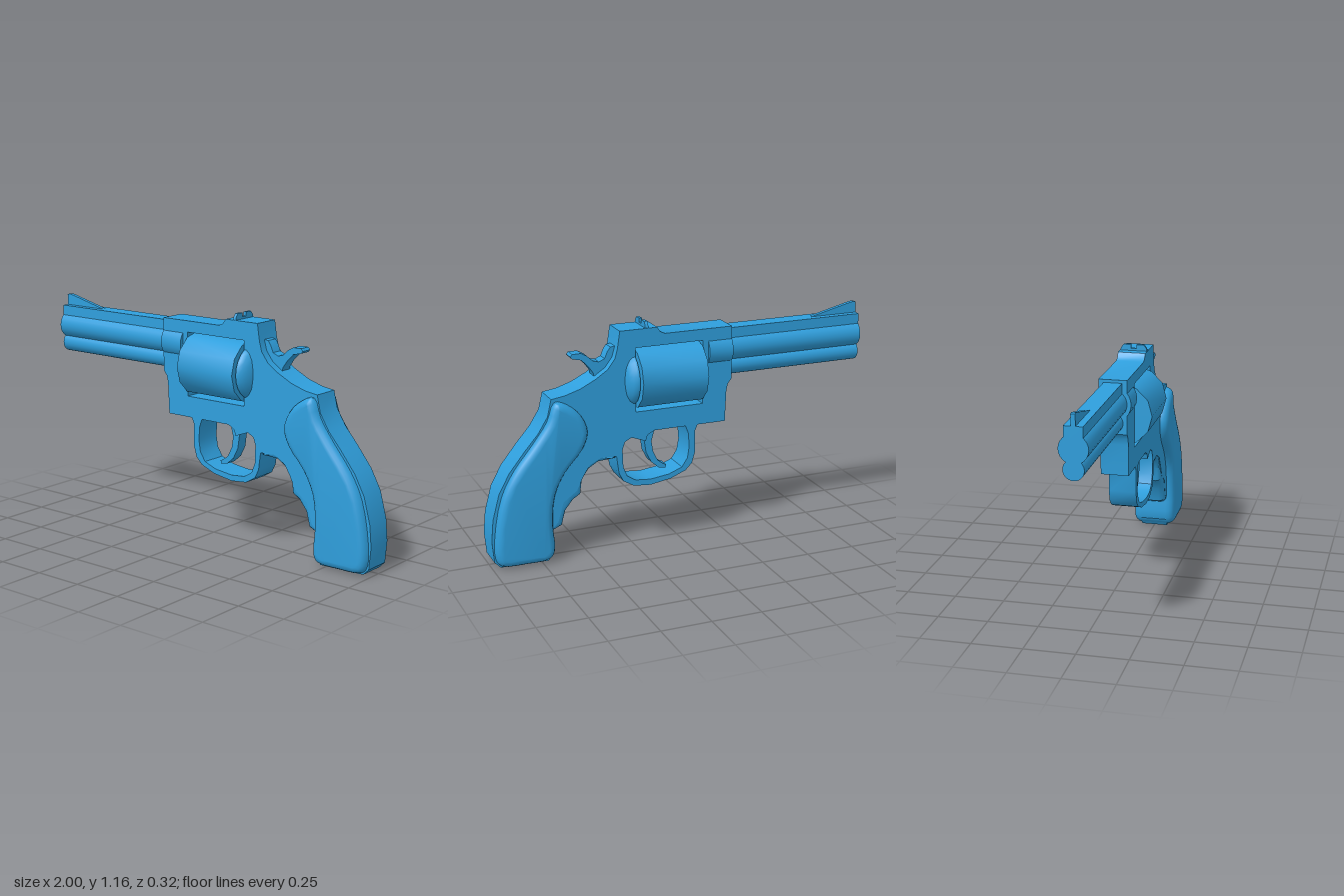
import * as THREE from 'three';
import { toCreasedNormals } from 'three/addons/utils/BufferGeometryUtils.js';

const toPath = (points, Type = THREE.Shape) => new Type(points.map(([x, y]) => new THREE.Vector2(x, y)));

export function createModel() {
  const group = new THREE.Group();
  const blue = new THREE.MeshStandardMaterial({ color: 0x2f9fdd });
  blue.name = 'blue';

  function add(name, geometry, crease = 0.6) {
    const mesh = new THREE.Mesh(toCreasedNormals(geometry, crease), blue);
    mesh.name = name;
    group.add(mesh);
    return mesh;
  }

  // Side outline extruded to a total width, centred on z; the bevel stays inside the outline
  function plate(name, points, width, { holes = [], bevel = 0, inset = 0, crease = 0.6, segments = 3 } = {}) {
    const shape = toPath(points);
    holes.forEach((h) => shape.holes.push(toPath(h, THREE.Path)));
    const geometry = new THREE.ExtrudeGeometry(shape, {
      depth: width - 2 * bevel, bevelEnabled: bevel > 0, bevelThickness: bevel,
      bevelSize: inset, bevelOffset: -inset, bevelSegments: segments,
    });
    geometry.translate(0, 0, bevel - width / 2);
    return add(name, geometry, crease);
  }

  // Round bar lying along x
  function bar(name, radius, x0, x1, y, sides = 24, crease = 0.6) {
    const geometry = new THREE.CylinderGeometry(radius, radius, x1 - x0, sides);
    geometry.rotateZ(-Math.PI / 2);
    geometry.translate((x0 + x1) / 2, y, 0);
    return add(name, geometry, crease);
  }

  // Frame with back strap and trigger guard in one outline
  const cylinderWindow = [[-0.112, 0.717], [0.245, 0.717], [0.245, 1.043], [-0.112, 1.043]];
  const guardHole = [
    [-0.02, 0.61], [-0.035, 0.57], [-0.04, 0.5], [-0.03, 0.44], [0.0, 0.395], [0.07, 0.368], [0.17, 0.355],
    [0.25, 0.362], [0.295, 0.39], [0.315, 0.44], [0.318, 0.53], [0.305, 0.57], [0.27, 0.588],
    [0.235, 0.575], [0.195, 0.56], [0.185, 0.59], [0.15, 0.61], [0.11, 0.61],
  ];
  plate('frame', [
    [-0.27, 1.1], [-0.27, 0.83], [-0.25, 0.805], [-0.242, 0.77], [-0.235, 0.61], [-0.085, 0.61],
    [-0.072, 0.58], [-0.073, 0.47], [-0.055, 0.41], [-0.02, 0.375], [0.06, 0.343], [0.17, 0.325], [0.26, 0.333],
    [0.315, 0.365], [0.338, 0.41], [0.35, 0.5], [0.43, 0.505], [0.49, 0.475], [0.525, 0.42], [0.56, 0.35],
    [0.63, 0.3], [0.66, 0.2], [0.69, 0.17], [0.685, 0.05], [0.715, 0.005], [0.96, 0.01], [0.99, 0.04],
    [1.0, 0.15], [0.99, 0.26], [0.955, 0.39], [0.9, 0.49], [0.82, 0.59], [0.75, 0.67], [0.7, 0.75],
    [0.68, 0.835], [0.61, 0.845], [0.53, 0.87], [0.45, 0.91], [0.39, 0.95], [0.352, 1.0], [0.338, 1.05],
    [0.325, 1.135], [0.13, 1.135], [0.115, 1.112], [0.09, 1.1],
  ], 0.14, { holes: [cylinderWindow, guardHole] });

  // Finger grooves on the front of the grip
  plate('fingerGrooves', [
    [0.35, 0.51], [0.35, 0.485], [0.44, 0.48], [0.49, 0.45], [0.525, 0.4], [0.535, 0.325], [0.575, 0.3],
    [0.615, 0.25], [0.635, 0.175], [0.68, 0.155], [0.76, 0.16], [0.72, 0.4], [0.6, 0.54], [0.46, 0.54],
  ], 0.138, { bevel: 0.03, inset: 0.025 });

  // Rounded grip panels standing out on both sides
  const gripCurve = new THREE.CatmullRomCurve3([
    [0.665, 0.82], [0.6, 0.8], [0.53, 0.735], [0.5, 0.65], [0.53, 0.565], [0.62, 0.46], [0.675, 0.35],
    [0.69, 0.2], [0.683, 0.06], [0.71, 0.018], [0.83, 0.01], [0.96, 0.02], [0.985, 0.06], [0.985, 0.17],
    [0.945, 0.37], [0.88, 0.495], [0.78, 0.62], [0.705, 0.725],
  ].map(([x, y]) => new THREE.Vector3(x, y, 0)), true);
  plate('gripPanels', gripCurve.getPoints(54).slice(0, -1).map((p) => [p.x, p.y]), 0.222,
    { bevel: 0.045, inset: 0.036, crease: 0.8, segments: 4 });

  // Barrel, lug below it and rib above it
  bar('barrel', 0.07, -1, -0.2, 0.98);
  bar('barrelLug', 0.05, -1, -0.2, 0.885);
  const rib = new THREE.BoxGeometry(0.8, 0.085, 0.09);
  rib.translate(-0.6, 1.0425, 0);
  add('barrelRib', rib);
  bar('barrelCollar', 0.09, -0.27, -0.142, 0.98);

  // Cylinder and the domed shield behind it
  bar('cylinder', 0.158, -0.108, 0.238, 0.88, 12, 0.7);
  const dome = new THREE.LatheGeometry([
    [0, 0], [0.137, 0], [0.137, 0.012], [0.125, 0.03], [0.1, 0.046], [0.06, 0.058], [0, 0.062],
  ].map(([r, h]) => new THREE.Vector2(r, h)), 24);
  dome.rotateZ(-Math.PI / 2);
  dome.translate(0.246, 0.88, 0);
  add('recoilShield', dome, 0.8);

  // Sights
  plate('frontSight', [[-1, 1.08], [-0.72, 1.08], [-0.96, 1.138], [-0.985, 1.143], [-1, 1.14]], 0.022);
  const rearSight = new THREE.ExtrudeGeometry(toPath([
    [-0.068, 1.13], [0.068, 1.13], [0.066, 1.148], [0.052, 1.166], [0.014, 1.166], [0.014, 1.146],
    [-0.014, 1.146], [-0.014, 1.166], [-0.052, 1.166], [-0.066, 1.148],
  ]), { depth: 0.016, bevelEnabled: false });
  rearSight.rotateY(Math.PI / 2);
  rearSight.translate(0.176, 0, 0);
  add('rearSight', rearSight);

  // Hammer and trigger
  plate('hammer', [
    [0.325, 1.055], [0.325, 0.92], [0.44, 0.89], [0.45, 0.93], [0.475, 0.965], [0.51, 1.0], [0.555, 1.01],
    [0.565, 1.022], [0.555, 1.034], [0.51, 1.034], [0.48, 1.018], [0.45, 0.99], [0.42, 0.982],
    [0.39, 0.995], [0.375, 1.03], [0.36, 1.05],
  ], 0.06);
  plate('trigger', [
    [0.1, 0.63], [0.135, 0.59], [0.148, 0.54], [0.14, 0.485], [0.115, 0.435], [0.085, 0.412], [0.068, 0.405],
    [0.075, 0.388], [0.11, 0.395], [0.15, 0.43], [0.178, 0.485], [0.187, 0.55], [0.2, 0.58], [0.2, 0.63],
  ], 0.06);

  return group;
}
